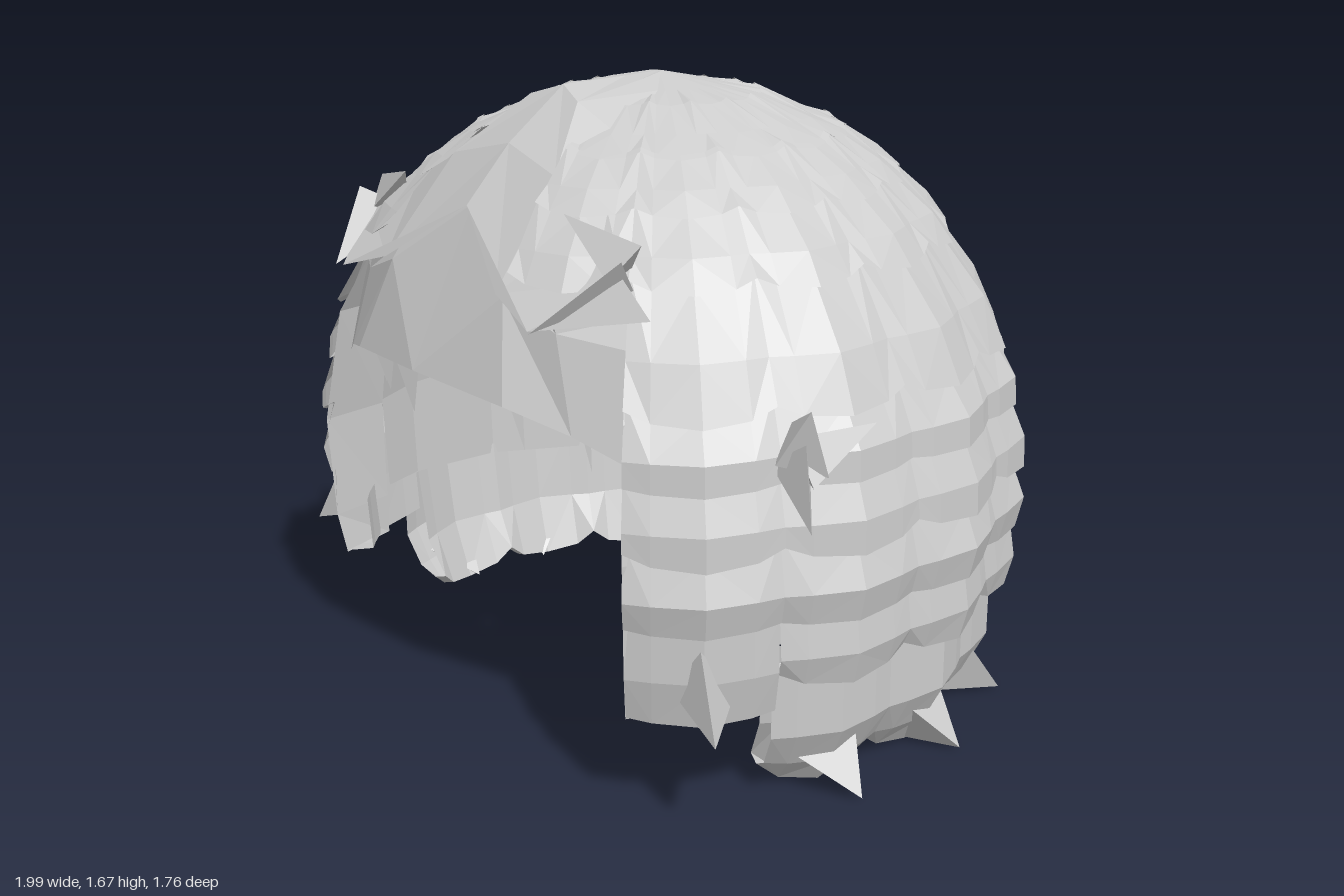
import * as THREE from 'three';

const hairGrey = new THREE.MeshStandardMaterial({ color: 0xcccccc, flatShading: true, side: THREE.DoubleSide });
hairGrey.name = 'hairGrey';

const AXIS_Z = 0.09;            // the crown sits slightly ahead of centre
const STEP = Math.PI / 16;      // half a lock; odd steps are ridges, even steps are valleys

// Flat-shaded surface through rows of points (top to bottom, left to right),
// with diagonals alternating so both sides of a lock mirror each other
function grid(name, rows) {
  const pos = [];
  for (let i = 0; i + 1 < rows.length; i++) {
    for (let j = 0; j + 1 < rows[i].length; j++) {
      const a = rows[i][j], b = rows[i][j + 1], c = rows[i + 1][j], d = rows[i + 1][j + 1];
      if (j % 2) pos.push(...a, ...c, ...b, ...b, ...c, ...d);
      else pos.push(...a, ...c, ...d, ...a, ...d, ...b);
    }
  }
  const geo = new THREE.BufferGeometry();
  geo.setAttribute('position', new THREE.Float32BufferAttribute(pos, 3));
  geo.computeVertexNormals();
  const mesh = new THREE.Mesh(geo, hairGrey);
  mesh.name = name;
  return mesh;
}

// Point at step k on a plain round dome
function roundPoint(k, y, r) {
  return [r * Math.sin(k * STEP), y, AXIS_Z + 0.98 * r * Math.cos(k * STEP)];
}

// Point at step k on the locks; valleys are pulled in and their hems sharply notched
function lockPoint(k, y, r, notch = 0) {
  const t = 1 - Math.abs((k % 2) - 1);              // 0 in a valley, 1 on a ridge
  return roundPoint(k, y + notch * Math.max(0, 1 - t * 2), r * (0.965 + 0.035 * t));
}

function lockBand(name, k0, k1, rings) {
  const steps = [];
  for (let k = k0; k < k1; k += 2) steps.push(k, k + 0.35, k + 1, k + 1.65);
  steps.push(k1);
  return grid(name, rings.map(([y, r, notch]) => steps.map((k) => lockPoint(k, y, r, notch))));
}

// Overlapping tiers: each bulges, flares to a hem, then steps in under it
function tierRings(hems) {
  const rings = [[1.69, 0.005, 0]];
  let y0 = 1.69, r0 = 0.005;
  hems.forEach(([y, r, lip]) => {
    rings.push([(y0 + y) / 2, (r0 + r) / 2 + 0.012, 0]);
    rings.push([y, r, lip]);
    rings.push([y + 0.5 * lip, r - lip, lip]);
    y0 = y;
    r0 = r;
  });
  return rings;
}

// Three-sided spike from a base centre to a tip
function spike(name, base, tip, width, flat = 1) {
  const from = new THREE.Vector3(...base), to = new THREE.Vector3(...tip);
  const dir = to.clone().sub(from);
  const mesh = new THREE.Mesh(new THREE.ConeGeometry(width, dir.length(), 3), hairGrey);
  mesh.geometry.scale(1, 1, flat);
  mesh.position.copy(from).addScaledVector(dir, 0.5);
  mesh.quaternion.setFromUnitVectors(new THREE.Vector3(0, 1, 0), dir.normalize());
  mesh.name = name;
  return mesh;
}

// Completes a half row (centre to left side) with its mirror image
const mirrorRow = (half) => [...half.slice(1).reverse().map(([x, y, z]) => [-x, y, z]), ...half];

export function createModel() {
  const wig = new THREE.Group();
  wig.name = 'wig';

  const hems = [
    [1.63, 0.29, 0.012], [1.54, 0.51, 0.018], [1.43, 0.66, 0.022], [1.28, 0.795, 0.03],
    [1.01, 0.945, 0.035], [0.86, 0.98, 0.012], [0.69, 1.01, 0.035], [0.52, 0.995, 0.012],
  ];

  // Long locks round the sides and back, with a turned-in lining
  wig.add(lockBand('longLocks', 6, 26, [
    ...tierRings([...hems, [0.35, 0.975, 0.04]]),
    [0.2, 0.935, 0], [0.1, 0.885, 0.01], [0.02, 0.83, 0.06],
    [0.03, 0.79, 0.06], [0.2, 0.85, 0], [0.42, 0.88, 0],
  ]));

  // Shorter locks framing the face, and the tops of the locks above the brow
  for (const [face0, brow0] of [[4, 2], [26, 28]]) {
    wig.add(lockBand('faceLock', face0, face0 + 2, [
      ...tierRings(hems), [0.4, 0.985, 0], [0.28, 0.96, 0.01], [0.29, 0.88, 0.01], [0.45, 0.89, 0],
    ]));
    wig.add(lockBand('browLock', brow0, brow0 + 2, tierRings(hems.slice(0, 4))));
  }

  // Inner cap with a rim that rises towards the face
  const capSteps = [5];
  for (let k = 6; k <= 26; k += 2) capSteps.push(k);
  capSteps.push(27);
  const capProfile = [[1.6, 0.25], [1.45, 0.5], [1.2, 0.72], [0.95, 0.83], [0.7, 0.86], [0, 0.85]];
  wig.add(grid('innerCap', capProfile.map(([y, r]) => capSteps.map((k) => (
    roundPoint(k, y || 0.31 + 0.08 * (1 + Math.cos(k * STEP)), r))))));

  // Inner faces of the face locks, running back to the cap
  const edge = [[1.27, 0.785, 0.7], [1.01, 0.94, 0.82], [0.69, 1.0, 0.86], [0.4, 0.985, 0.86], [0.285, 0.96, 0.86]];
  for (const [k, inner] of [[4, 5], [28, 27]]) {
    wig.add(grid('faceLockEdge', edge.map(([y, r0, r1]) => [lockPoint(k, y, r0), roundPoint(inner, y, r1)])));
  }

  // Lower fringe plate
  wig.add(grid('lowerFringe', [
    [[0, 1.45, 0.65], [0.25, 1.28, 0.74], [0.4, 1.23, 0.74], [0.6, 1.24, 0.58]],
    [[0, 1.41, 0.685], [0.25, 1.24, 0.77], [0.42, 1.18, 0.74], [0.64, 1.15, 0.62]],
    [[0, 1.02, 0.875], [0.33, 1.0, 0.835], [0.5, 0.955, 0.76], [0.7, 0.87, 0.66]],
  ].map(mirrorRow)));

  // Parted upper fringe sweeping down from the crown
  wig.add(grid('upperFringe', [
    [[0, 1.69, 0.09], [0.01, 1.69, 0.09], [0.02, 1.69, 0.1]],
    [[0, 1.685, 0.2], [0.06, 1.68, 0.2], [0.13, 1.66, 0.2]],
    [[0, 1.68, 0.4], [0.1, 1.65, 0.43], [0.25, 1.57, 0.4]],
    [[0, 1.55, 0.57], [0.22, 1.5, 0.59], [0.4, 1.44, 0.57]],
    [[0, 1.41, 0.7], [0.25, 1.25, 0.79], [0.56, 1.32, 0.65]],
    [[0, 1.41, 0.7], [0.42, 1.2, 0.82], [0.62, 1.23, 0.62]],
  ].map(mirrorRow)));

  // Flicked tips along the hem, one on every long lock
  for (let k = 7; k <= 25; k += 2) {
    const lean = k < 16 ? 0.2 : -0.2;
    wig.add(spike('hemTip', lockPoint(k, 0.12, 0.84), lockPoint(k + lean, 0.025, 0.98), 0.12, 0.8));
  }

  for (const s of [-1, 1]) {
    // Tips of the face locks
    wig.add(spike('faceLockTip', [s * 0.78, 0.4, 0.6], [s * 0.92, 0.3, 0.68], 0.12, 0.7));
    // Tuft at the temple
    for (const tip of [[0.98, 0.78, 0.45], [0.95, 0.99, 0.22], [0.95, 1.06, 0.43]]) {
      wig.add(spike('templeTuft', [s * 0.88, 0.93, 0.41], [s * tip[0], tip[1], tip[2]], 0.1, 0.6));
    }
    // Tuft over the brow
    for (const tip of [[0.44, 1.2, 0.83], [0.35, 1.44, 0.66]]) {
      wig.add(spike('browTuft', [s * 0.52, 1.32, 0.62], [s * tip[0], tip[1], tip[2]], 0.1, 0.5));
    }
    // Small strands hanging under the fringe
    for (const [x, y, z] of [[0.15, 0.85, 0.8], [0.3, 0.87, 0.78], [0.46, 0.84, 0.7]]) {
      wig.add(spike('fringeStrand', [s * x, 1.03, z], [s * (x + 0.01), y, z - 0.02], 0.04, 0.5));
    }
  }
  return wig;
}
